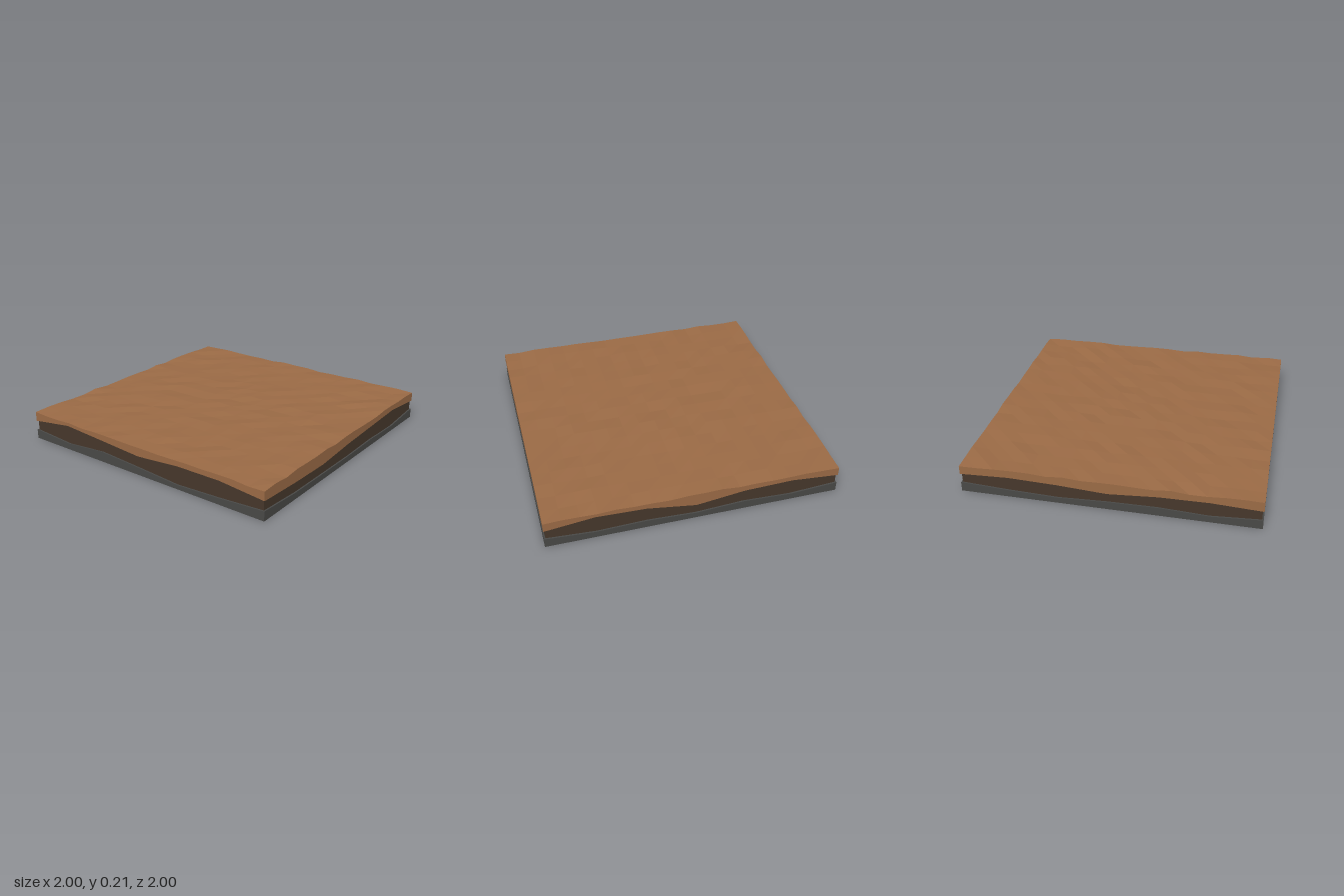
import * as THREE from 'three';

const CELLS = 17; // top surface grid
const SPANS = 6; // steps in each layer boundary

// Layer boundary heights, going round: front, right, back, left
const soilBase = [
  0.135, 0.18, 0.158, 0.135, 0.163, 0.165,
  0.135, 0.118, 0.11, 0.135, 0.15, 0.165,
  0.135, 0.175, 0.163, 0.11, 0.155, 0.165,
  0.135, 0.15, 0.14, 0.12, 0.145, 0.15,
];
const stoneTop = [
  0.067, 0.045, 0.073, 0.053, 0.03, 0.045,
  0.067, 0.045, 0.042, 0.04, 0.047, 0.038,
  0.067, 0.045, 0.055, 0.04, 0.06, 0.045,
  0.067, 0.05, 0.04, 0.055, 0.06, 0.045,
];

// Seeded bump height of a top grid corner
function bump(i, j) {
  const s = Math.sin(i * 127.1 + j * 311.7 + 4.2) * 43758.5453;
  return 0.194 + 0.013 * (s - Math.floor(s));
}

// Height on the top surface, linear along the grid lines
function surface(x, z) {
  const u = (x + 1) / 2 * CELLS, v = (z + 1) / 2 * CELLS;
  const i = Math.min(Math.floor(u + 1e-6), CELLS - 1), j = Math.min(Math.floor(v + 1e-6), CELLS - 1);
  const a = u - i, b = v - j;
  return THREE.MathUtils.lerp(
    THREE.MathUtils.lerp(bump(i, j), bump(i + 1, j), a),
    THREE.MathUtils.lerp(bump(i, j + 1), bump(i + 1, j + 1), a), b);
}

// Points round the tile: x, z and t = distance along the boundary list
function perimeter() {
  const steps = new Set();
  for (let i = 0; i < CELLS; i++) steps.add(i / CELLS);
  for (let i = 0; i < SPANS; i++) steps.add(i / SPANS);
  const sorted = [...steps].sort((a, b) => a - b);
  const place = [s => [s, 1], s => [1, -s], s => [-s, -1], s => [-1, s]];
  return place.flatMap((at, side) => sorted.map(f => {
    const [x, z] = at(f * 2 - 1);
    return { x, z, t: (side + f) * SPANS };
  }));
}

function along(list, t) {
  const i = Math.floor(t + 1e-6);
  return THREE.MathUtils.lerp(list[i % list.length], list[(i + 1) % list.length], t - i);
}

function layerMesh(name, color, triangles) {
  const geometry = new THREE.BufferGeometry();
  geometry.setAttribute('position', new THREE.Float32BufferAttribute(triangles.flat(2), 3));
  geometry.computeVertexNormals();
  const mesh = new THREE.Mesh(geometry, new THREE.MeshStandardMaterial({ color, flatShading: true }));
  mesh.name = name;
  return mesh;
}

// Side walls with an underside fan and, if wanted, a top fan
function walls(low, high, centreLow, centreHigh) {
  const tris = [], ring = perimeter();
  ring.forEach((p, k) => {
    const q = ring[(k + 1) % ring.length];
    const a = [p.x, low(p), p.z], b = [q.x, low(q), q.z];
    const c = [q.x, high(q), q.z], d = [p.x, high(p), p.z];
    tris.push([a, b, c], [a, c, d], [[0, centreLow, 0], b, a]);
    if (centreHigh !== undefined) tris.push([[0, centreHigh, 0], d, c]);
  });
  return tris;
}

export function createModel() {
  const group = new THREE.Group();
  group.name = 'groundTile';

  // Stone layer at the bottom
  group.add(layerMesh('stoneLayer', 0x484846,
    walls(() => 0, p => along(stoneTop, p.t), 0, 0.05)));

  // Dark earth between, slightly set in
  const earth = new THREE.Mesh(
    new THREE.BoxGeometry(1.98, 0.165, 1.98),
    new THREE.MeshStandardMaterial({ color: 0x46372b, flatShading: true }));
  earth.position.y = 0.1025;
  earth.name = 'darkEarthLayer';
  group.add(earth);

  // Brown soil with a bumpy faceted top
  const soil = walls(p => along(soilBase, p.t), p => surface(p.x, p.z), 0.14);
  const corner = (i, j) => [i / CELLS * 2 - 1, bump(i, j), j / CELLS * 2 - 1];
  for (let i = 0; i < CELLS; i++) {
    for (let j = 0; j < CELLS; j++) {
      const a = corner(i, j), b = corner(i, j + 1), c = corner(i + 1, j + 1), d = corner(i + 1, j);
      soil.push([a, b, d], [b, c, d]);
    }
  }
  group.add(layerMesh('topSoilLayer', 0x9a6a45, soil));

  return group;
}
